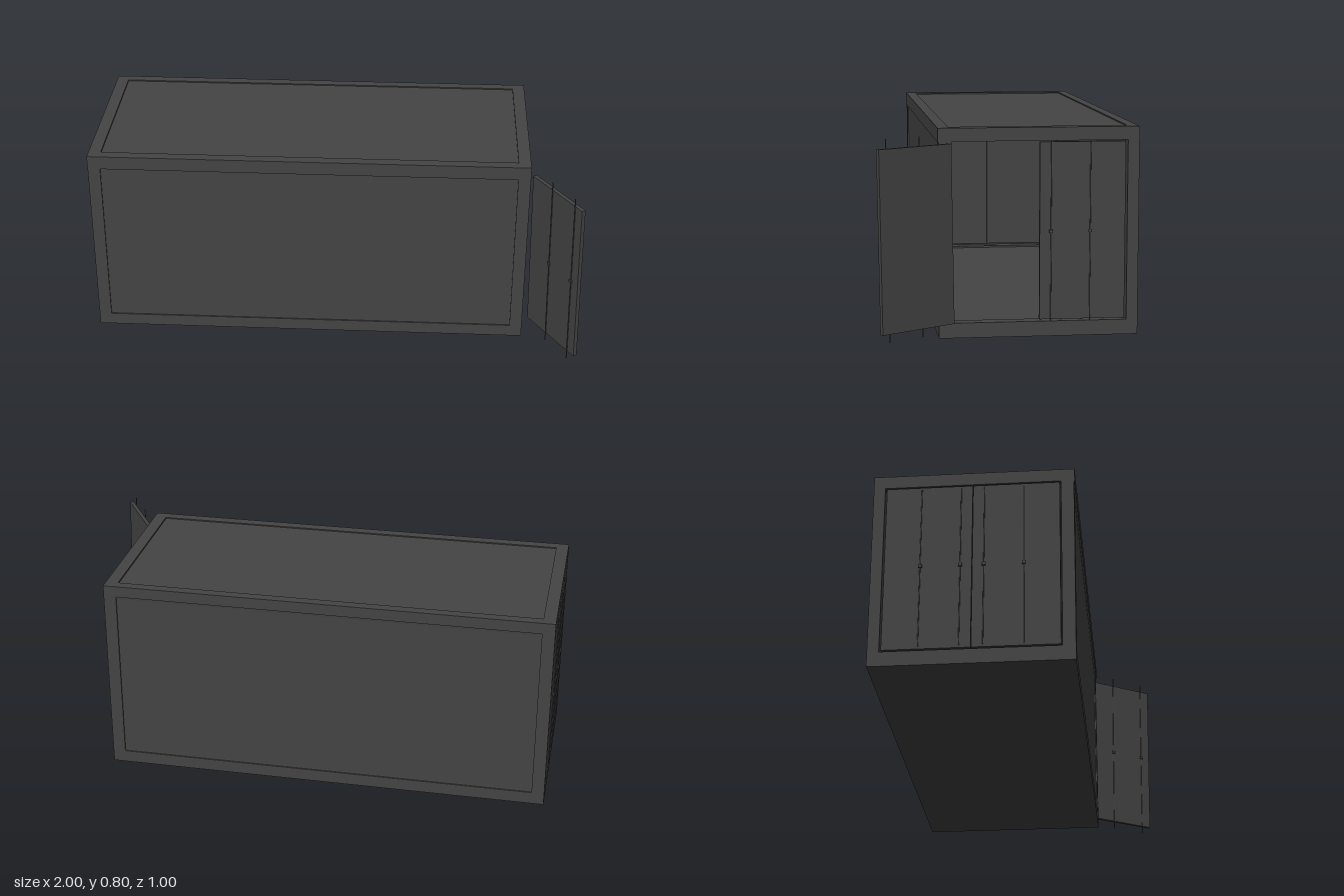
import * as THREE from 'three';

const steel = new THREE.MeshStandardMaterial({ color: 0x444444 });
steel.name = 'darkSteel';

// Outer shell limits
const X0 = -0.99, X1 = 0.79, Z0 = -0.5, Z1 = 0.263, H = 0.8;
const CX = (X0 + X1) / 2, CZ = (Z0 + Z1) / 2, L = X1 - X0, W = Z1 - Z0;
const DOOR_H = 0.68, DOOR_W = 0.328, DOOR_Y = 0.404;

function add(parent, name, geometry, x, y, z) {
  const mesh = new THREE.Mesh(geometry, steel);
  mesh.name = name;
  mesh.position.set(x, y, z);
  parent.add(mesh);
  return mesh;
}

// Slab whose +z face sinks slightly inside a sloped border
function recessedPanel(w, h, t, border, depth) {
  const g = new THREE.BoxGeometry(w, h, t, 3, 3, 1);
  const p = g.attributes.position;
  for (let i = 0; i < p.count; i++) {
    const x = p.getX(i), y = p.getY(i);
    const innerX = Math.abs(x) < w * 0.4, innerY = Math.abs(y) < h * 0.4;
    if (innerX) p.setX(i, Math.sign(x) * (w / 2 - border));
    if (innerY) p.setY(i, Math.sign(y) * (h / 2 - border));
    if (innerX && innerY && p.getZ(i) > 0) p.setZ(i, t / 2 - depth);
  }
  const flat = g.toNonIndexed();
  flat.computeVertexNormals();
  return flat;
}

// Door leaf: hinge at the origin, outside faces +x, spans along z by side (-1 or 1)
function makeDoor(name, side, rodLength) {
  const door = new THREE.Group();
  door.name = name;
  add(door, 'doorLeaf', new THREE.BoxGeometry(0.016, DOOR_H, DOOR_W), 0, 0, side * DOOR_W / 2);
  for (const d of [0.135, 0.285]) {
    add(door, 'lockingRod', new THREE.CylinderGeometry(0.002, 0.002, rodLength, 6), 0.01, 0, side * d);
    add(door, 'rodHandle', new THREE.BoxGeometry(0.006, 0.012, 0.014), 0.012, 0, side * d);
  }
  return door;
}

export function createModel() {
  const model = new THREE.Group();
  model.name = 'cargoContainer';

  // Long walls, roof and floor
  const wall = recessedPanel(L, H, 0.04, 0.055, 0.006);
  add(model, 'frontWall', wall, CX, H / 2, Z1 - 0.02);
  add(model, 'backWall', wall, CX, H / 2, Z0 + 0.02).rotation.y = Math.PI;
  const slab = recessedPanel(L, W, 0.045, 0.05, 0.006);
  add(model, 'roof', slab, CX, H - 0.0225, CZ).rotation.x = -Math.PI / 2;
  add(model, 'floor', new THREE.BoxGeometry(L, 0.05, W), CX, 0.025, CZ);
  add(model, 'topRail', new THREE.BoxGeometry(L, 0.055, 0.03), CX, H - 0.0275, Z1 - 0.012);

  // Frame around each end opening
  const outline = new THREE.Shape([
    new THREE.Vector2(-Z1, 0), new THREE.Vector2(-Z0, 0),
    new THREE.Vector2(-Z0, H), new THREE.Vector2(-Z1, H)]);
  outline.holes.push(new THREE.Path([
    new THREE.Vector2(-0.214, 0.058), new THREE.Vector2(-0.214, 0.749),
    new THREE.Vector2(0.456, 0.749), new THREE.Vector2(0.456, 0.058)]));
  const frame = new THREE.ExtrudeGeometry(outline, { depth: 0.05, bevelEnabled: false });
  for (const x of [X0, X1 - 0.05]) {
    add(model, 'endFrame', frame, x, 0, 0).rotation.y = Math.PI / 2;
  }

  // Right end: one closed leaf and one swung wide open
  const closed = makeDoor('closedDoor', 1, 0.69);
  closed.position.set(X1 - 0.014, DOOR_Y, -0.449);
  const open = makeDoor('openDoor', -1, 0.75);
  open.position.set(0.815, DOOR_Y, 0.217);
  open.rotation.set(0, Math.PI + 0.558, -0.025);
  model.add(closed, open);

  // Left end: a closed pair
  const farEnd = new THREE.Group();
  farEnd.name = 'leftDoors';
  farEnd.position.set(X0 + 0.008, DOOR_Y, -0.12);
  farEnd.rotation.y = Math.PI;
  for (const s of [-1, 1]) {
    const leaf = makeDoor('leftEndDoor', -s, 0.66);
    leaf.position.z = s * 0.329;
    farEnd.add(leaf);
  }
  model.add(farEnd);

  return model;
}
